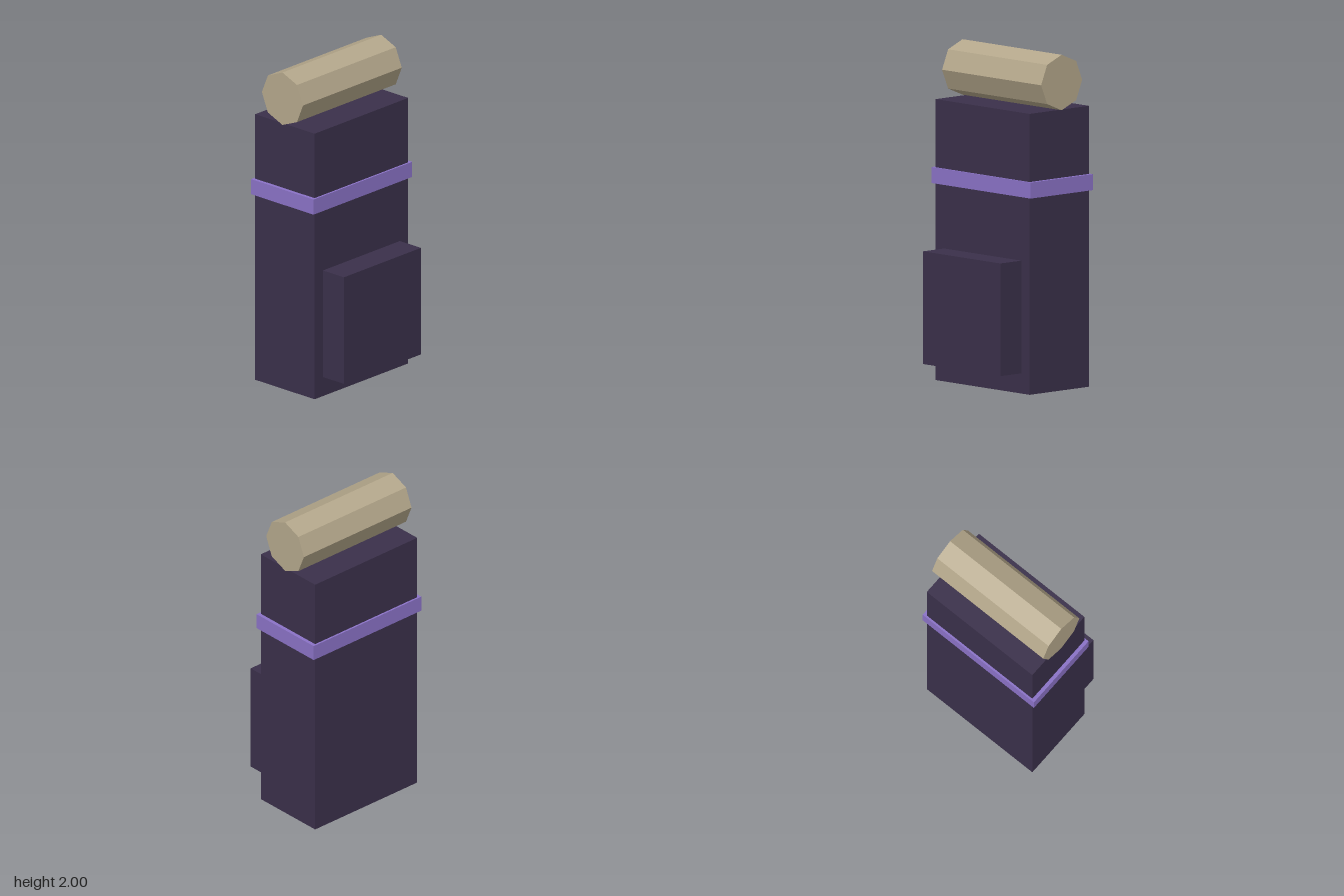
import * as THREE from 'three';

const paint = (name, color) => {
  const material = new THREE.MeshStandardMaterial({ color });
  material.name = name;
  return material;
};

export function createModel() {
  const group = new THREE.Group();
  group.name = 'backpack';

  const fabric = paint('dark purple fabric', 0x3a304a);
  const trim = paint('violet trim', 0x8a72c6);
  const mat = paint('tan bedroll', 0xb4a78b);
  mat.flatShading = true;

  // Box given by half width, bottom, top, back and front
  const addBox = (name, material, halfWidth, y0, y1, z0, z1) => {
    const mesh = new THREE.Mesh(new THREE.BoxGeometry(halfWidth * 2, y1 - y0, z1 - z0), material);
    mesh.position.set(0, (y0 + y1) / 2, (z0 + z1) / 2);
    mesh.name = name;
    group.add(mesh);
  };

  addBox('mainBag', fabric, 0.405, 0, 1.67, -0.316, 0.16);
  addBox('strapBand', trim, 0.427, 1.17, 1.265, -0.328, 0.172);
  addBox('frontPocket', fabric, 0.333, 0.12, 0.79, 0.15, 0.328);

  // Eight-sided bedroll lying across the top
  const roll = new THREE.Mesh(new THREE.CylinderGeometry(0.165, 0.165, 0.854, 8), mat);
  roll.rotation.z = Math.PI / 2;
  roll.position.set(0, 1.835, -0.077);
  roll.name = 'bedroll';
  group.add(roll);

  return group;
}
